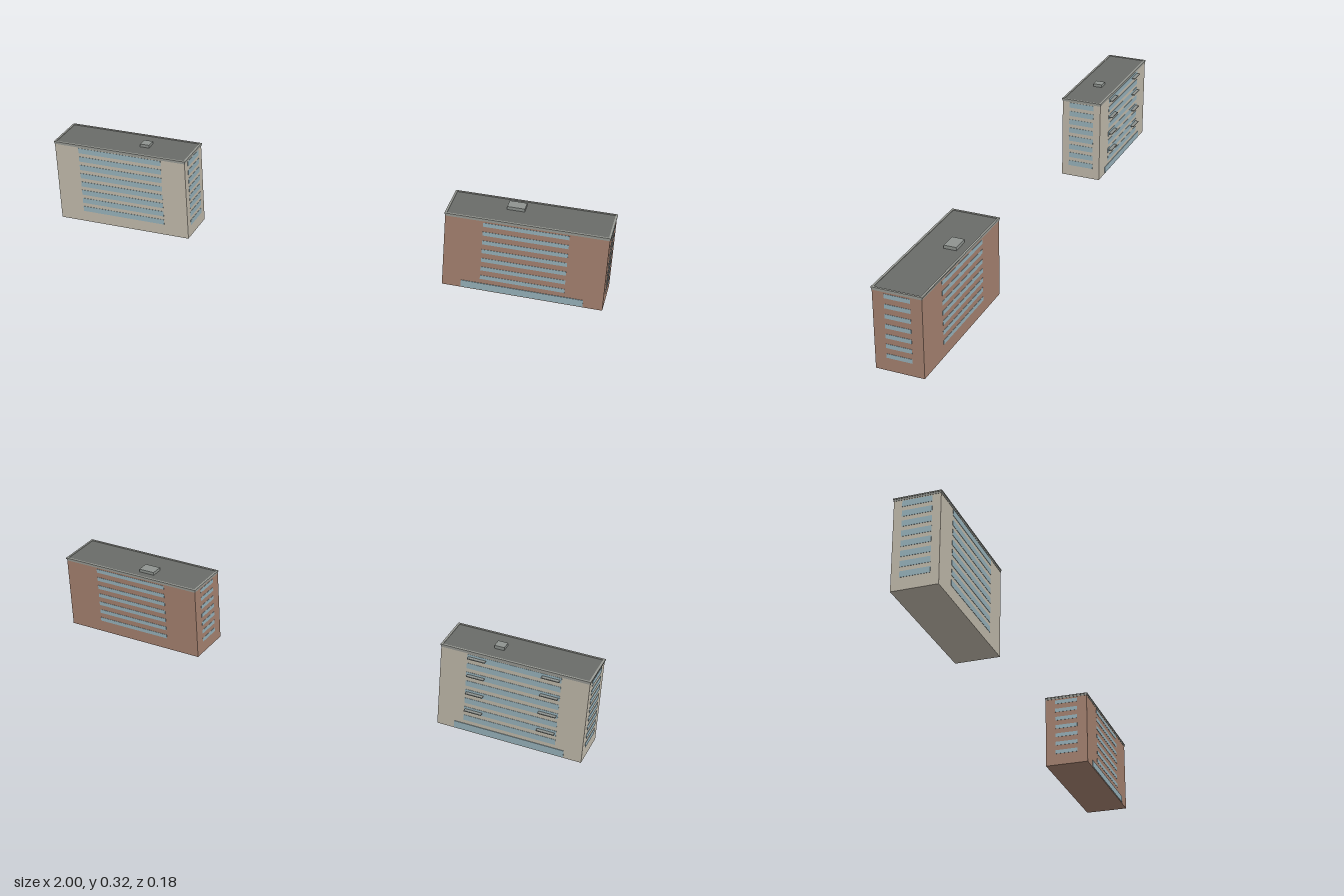
import * as THREE from 'three';

const mat = (color) => new THREE.MeshStandardMaterial({ color });
const glass = mat(0x9ab5be);
const roofing = mat(0x6a6c69);
const trim = mat(0x9a9c96);
const metal = mat(0x8f9490);

const FLOOR = 0.034;

function box(parent, name, w, h, d, x, y, z, material) {
  const mesh = new THREE.Mesh(new THREE.BoxGeometry(w, h, d), material);
  mesh.name = name;
  mesh.position.set(x, y, z);
  parent.add(mesh);
  return mesh;
}

// Rectangular ring of four walls, its outer size w by d
function ring(parent, name, w, d, t, y, h) {
  for (const s of [-1, 1]) {
    box(parent, name, w, h, t, 0, y + h / 2, s * (d - t) / 2, trim);
    box(parent, name, t, h, d - 2 * t, s * (w - t) / 2, y + h / 2, 0, trim);
  }
}

// Slab block; its street side is local +z
function building(o) {
  const g = new THREE.Group();
  g.name = o.name;
  const { w, d, top } = o;
  box(g, 'walls', w, top - 0.006, d, 0, (top - 0.006) / 2, 0, mat(o.color));

  // Window strips on all four sides, from the second floor up
  for (let k = 1; k < o.floors; k++) {
    const y = FLOOR * (k + 0.5) + 0.001;
    for (const s of [-1, 1]) {
      box(g, 'windowStrip', w * o.span, o.winH, 0.002, 0, y, s * d / 2, glass);
      box(g, 'sideWindowStrip', 0.002, o.winH, d * o.sideSpan, s * w / 2, y, 0, glass);
    }
  }

  // Ground floor shop glazing
  box(g, 'groundGlazing', w * 0.76, 0.025, 0.004, 0, 0.0155, d / 2, glass);

  // Roof deck inside a stepped parapet
  box(g, 'roofDeck', w - 0.004, 0.006, d - 0.004, 0, top - 0.005, 0, roofing);
  ring(g, 'parapet', w + 0.002, d + 0.002, 0.006, top - 0.01, 0.007);
  ring(g, 'parapetCap', w + 0.005, d + 0.005, 0.007, top - 0.004, 0.004);

  // Rooftop unit
  const [ux, uz, uw, ud] = o.unit;
  box(g, 'rooftopUnit', uw, 0.012, ud, ux, top + 0.003, uz, metal);

  // Balcony slabs on every second floor
  for (const x of o.balconies) {
    for (let k = 0; k < 4; k++) {
      box(g, 'balcony', 0.06, 0.003, 0.014, x, 0.086 + k * 2 * FLOOR, d / 2 + 0.007, metal);
    }
  }
  g.position.set(o.x, 0, 0.004);
  g.rotation.y = o.turn;
  return g;
}

export function createModel() {
  const model = new THREE.Group();
  model.name = 'twoApartmentBlocks';
  model.add(
    building({
      name: 'beigeBlock', color: 0xc4bdae, x: -0.7445, turn: Math.PI - 0.004,
      w: 0.506, d: 0.151, top: 0.313, floors: 9, winH: 0.02,
      span: 0.635, sideSpan: 0.64,
      unit: [-0.073, 0.002, 0.034, 0.034], balconies: [0.126, -0.126],
    }),
    building({
      name: 'brickBlock', color: 0xa88472, x: 0.7235, turn: 0.0045,
      w: 0.547, d: 0.163, top: 0.279, floors: 8, winH: 0.0145,
      span: 0.525, sideSpan: 0.53,
      unit: [-0.053, -0.029, 0.06, 0.043], balconies: [],
    }),
  );
  return model;
}
